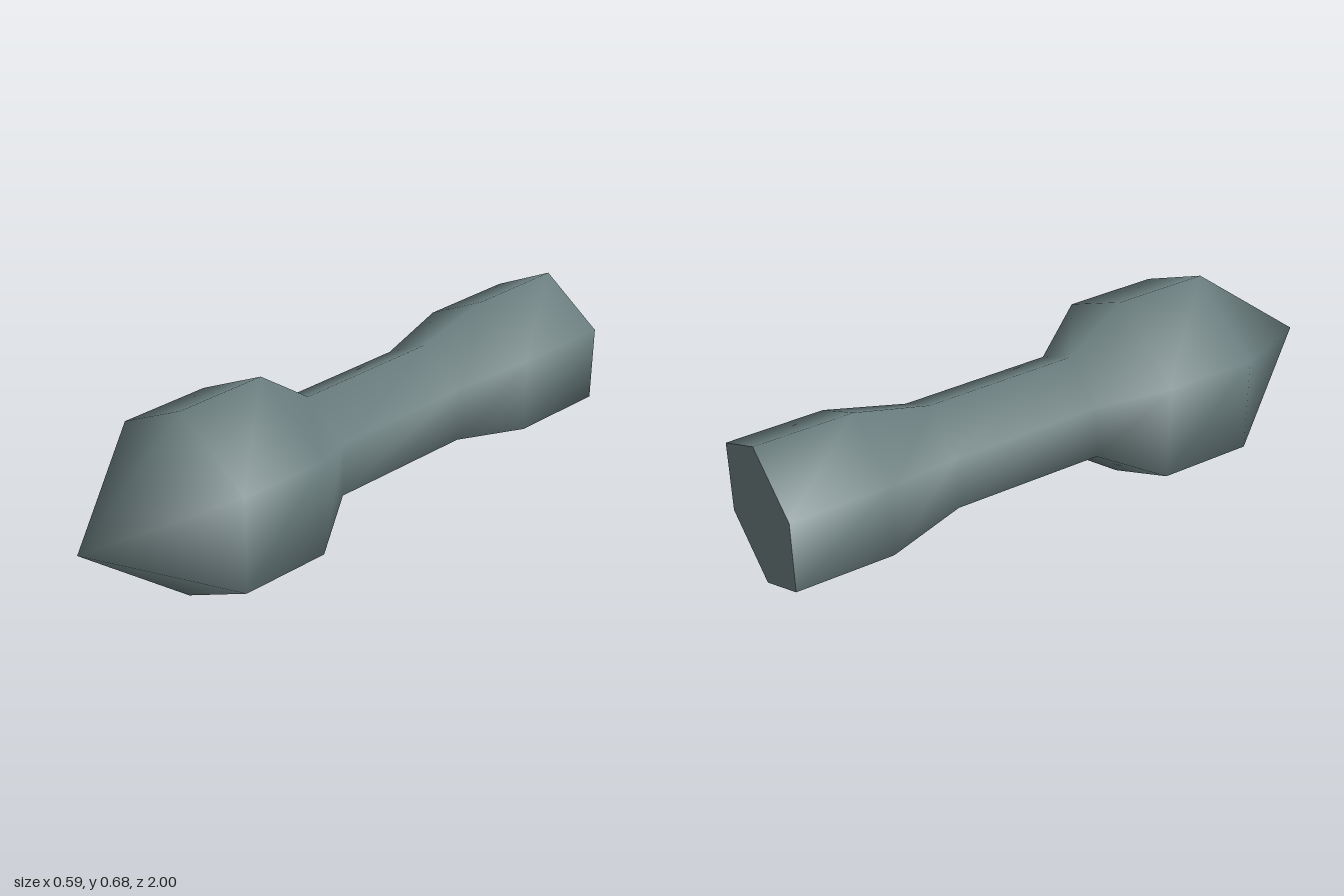
import * as THREE from 'three';
import { mergeVertices } from 'three/addons/utils/BufferGeometryUtils.js';

const SIDES = 6;
const END_RADIUS = 0.264;

export function createModel() {
  const group = new THREE.Group();
  group.name = 'hexagonalBolt';
  const metal = new THREE.MeshStandardMaterial({ color: 0x6c7f80 });
  metal.name = 'grey green metal';

  // Six-sided body: handle end, slim shaft, wide head, pointed tip (radius, z)
  const profile = [
    [END_RADIUS, -1], [END_RADIUS, -0.67], [0.194, -0.41], [0.194, 0.1],
    [0.34, 0.29], [0.34, 0.6], [0, 1],
  ].map(([r, z]) => new THREE.Vector2(r, z));
  let body = new THREE.LatheGeometry(profile, SIDES);
  body.rotateX(Math.PI / 2);

  // Weld the seam and tip so the shading is smooth all round
  body.deleteAttribute('uv');
  body.deleteAttribute('normal');
  body = mergeVertices(body, 1e-4);
  body.computeVertexNormals();
  const bodyMesh = new THREE.Mesh(body, metal);
  bodyMesh.name = 'body';

  // Flat hexagonal cap closing the back
  const cap = new THREE.CircleGeometry(END_RADIUS, SIDES, Math.PI / 2);
  cap.rotateY(Math.PI).translate(0, 0, -1);
  const capMesh = new THREE.Mesh(cap, metal);
  capMesh.name = 'backCap';

  for (const mesh of [bodyMesh, capMesh]) {
    mesh.position.y = 0.34;
    group.add(mesh);
  }
  return group;
}
